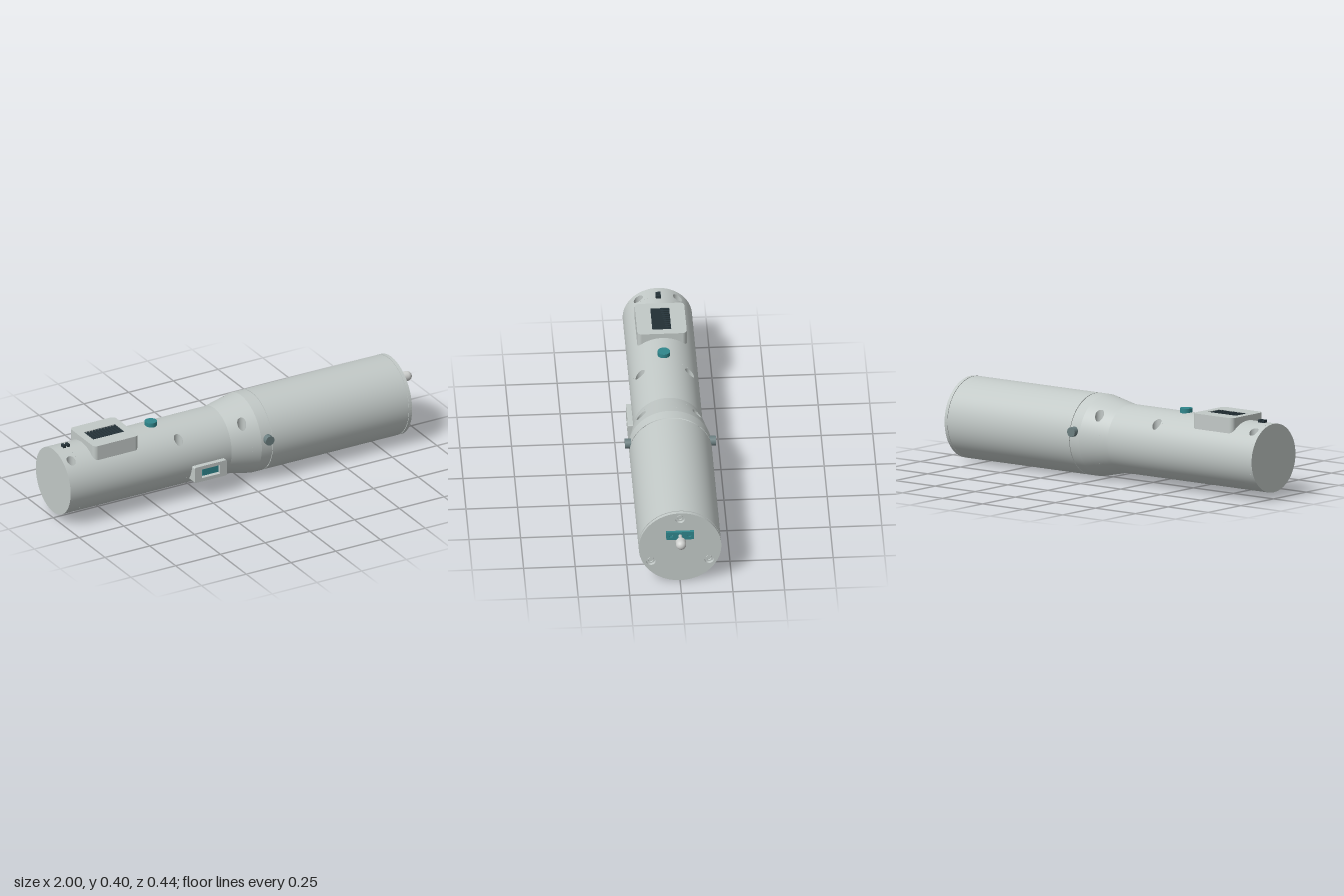
import * as THREE from 'three';

const AXIS = 0.2; // height of the long axis
const mat = (name, color, side = THREE.FrontSide) => {
  const m = new THREE.MeshStandardMaterial({ color, side });
  m.name = name;
  return m;
};

export function createModel() {
  const grey = mat('casing grey', 0xc2c9c7, THREE.DoubleSide);
  const teal = mat('teal', 0x2f868c);
  const dark = mat('dark slate', 0x26343a);
  const slate = mat('knob slate', 0x6c7f81);
  const pale = mat('pale metal', 0xcfd1cf);

  const model = new THREE.Group();
  const add = (name, geo, material, x = 0, y = 0, z = 0) => {
    const m = new THREE.Mesh(geo, material);
    m.name = name;
    m.position.set(x, y, z);
    model.add(m);
    return m;
  };

  // ---- Handle: radius rule along x, then surface patches around the drilled holes
  const R = x => x <= -0.1 ? 0.168 : Math.min(0.2, 0.168 + (x + 0.1) * 0.032 / 0.15);
  const patch = (slope, f, nu, nv) => {
    const pos = [], nor = [], idx = [];
    for (let i = 0; i <= nu; i++) for (let j = 0; j <= nv; j++) {
      const [x, a] = f(i / nu, j / nv);
      pos.push(x, AXIS + R(x) * Math.cos(a), R(x) * Math.sin(a));
      nor.push(...new THREE.Vector3(-slope, Math.cos(a), Math.sin(a)).normalize().toArray());
    }
    const v = (arr, k) => new THREE.Vector3().fromArray(arr, k * 3);
    const tri = (a, b, c) => { // keep every face turned outward
      const n = v(pos, b).sub(v(pos, a)).cross(v(pos, c).sub(v(pos, a)));
      idx.push(...(n.dot(v(nor, a)) < 0 ? [a, c, b] : [a, b, c]));
    };
    for (let i = 0; i < nu; i++) for (let j = 0; j < nv; j++) {
      const a = i * (nv + 1) + j, b = a + nv + 1;
      tri(a, b, b + 1);
      tri(a, b + 1, a + 1);
    }
    const g = new THREE.BufferGeometry();
    g.setAttribute('position', new THREE.Float32BufferAttribute(pos, 3));
    g.setAttribute('normal', new THREE.Float32BufferAttribute(nor, 3));
    g.setIndex(idx);
    add('handleShell', g, grey);
  };
  const band = (slope, x0, x1, a0 = 0, a1 = Math.PI * 2) =>
    patch(slope, (u, v) => [x0 + (x1 - x0) * u, a0 + (a1 - a0) * v], 1, Math.ceil((a1 - a0) * 14));

  const WIDE = 0.022, NARROW = 0.012, HALF = 0.03, SPREAD = 0.3;
  const drilledBand = (slope, hx, hz) => {
    const x0 = hx - HALF, x1 = hx + HALF, t = Math.asin(hz / R(hx));
    const centres = [-t, t, Math.PI - t, Math.PI + t];
    centres.forEach((c, i) => {
      const next = i < 3 ? centres[i + 1] : centres[0] + Math.PI * 2;
      band(slope, x0, x1, c + SPREAD, next - SPREAD);
      const bottom = i > 1, side = i === 0 || i === 3 ? -1 : 1;
      const rad = bottom ? NARROW : WIDE;
      patch(slope, (u, v) => {
        const a = v * Math.PI * 2, cs = Math.cos(a), sn = Math.sin(a);
        const k = 1 / Math.max(Math.abs(cs), Math.abs(sn));
        const ix = hx + rad * cs;
        const top = Math.asin((side * hz + rad * sn) / R(ix));
        const ia = bottom ? Math.PI - top : top;
        return [ix + (hx + HALF * k * cs - ix) * u, ia + (c + SPREAD * k * sn - ia) * u];
      }, 4, 32);
    });
    // Stepped bores running straight down through the handle
    for (const s of [-1, 1]) {
      const height = Math.sqrt(R(hx) ** 2 - hz ** 2), step = AXIS + height - 0.06;
      const bore = (rad, topY, bottomY) => {
        const g = new THREE.CylinderGeometry(rad, rad, 1, 32, 1, true), p = g.attributes.position;
        for (let i = 0; i < p.count; i++) {
          const x = hx + p.getX(i), z = s * hz + p.getZ(i), h = Math.sqrt(R(x) ** 2 - z * z);
          p.setXYZ(i, x, p.getY(i) > 0 ? topY ?? AXIS + h : bottomY ?? AXIS - h, z);
        }
        add('screwBore', g, grey);
      };
      bore(WIDE, undefined, step);
      bore(NARROW, step, undefined);
      add('screwSeat', new THREE.RingGeometry(NARROW, WIDE, 32).rotateX(-Math.PI / 2), grey, hx, step, s * hz);
    }
  };

  const slope = 0.032 / 0.15;
  band(0, -1, -0.985);
  drilledBand(0, -0.955, 0.095);
  band(0, -0.925, -0.4);
  drilledBand(0, -0.37, 0.12);
  band(0, -0.34, -0.1);
  band(slope, -0.1, -0.055);
  drilledBand(slope, -0.025, 0.135);
  band(slope, 0.005, 0.05);
  band(0, 0.05, 0.107);
  add('handleEnd', new THREE.CircleGeometry(0.168, 88).rotateY(-Math.PI / 2), grey, -1, AXIS);

  // ---- Wide barrel with shallow grooves at both joints
  const barrel = (name, x0, x1, r) =>
    add(name, new THREE.CylinderGeometry(r, r, x1 - x0, 88).rotateZ(Math.PI / 2), grey, (x0 + x1) / 2, AXIS);
  barrel('jointGroove', 0.106, 0.114, 0.196);
  barrel('barrel', 0.112, 0.868, 0.2);
  barrel('capGroove', 0.867, 0.874, 0.197);

  // ---- Shape helpers
  const circle = (x, y, r, Kind = THREE.Path) => new Kind().absarc(x, y, r, 0, Math.PI * 2);
  const rounded = (w, h, r, Kind = THREE.Shape) => {
    const s = new Kind(), x = w / 2 - r, y = h / 2 - r;
    s.absarc(x, y, r, 0, Math.PI / 2);
    s.absarc(-x, y, r, Math.PI / 2, Math.PI);
    s.absarc(-x, -y, r, Math.PI, Math.PI * 1.5);
    s.absarc(x, -y, r, Math.PI * 1.5, Math.PI * 2);
    s.closePath();
    return s;
  };
  const extrude = (shape, holes, depth, curveSegments = 12) => {
    shape.holes.push(...holes);
    return new THREE.ExtrudeGeometry(shape, { depth, bevelEnabled: false, curveSegments });
  };

  // ---- End cap with three recessed screws
  const screws = [[0, 0.165], [0.141, -0.08], [-0.141, -0.08]];
  add('endCap', extrude(circle(0, 0, 0.2, THREE.Shape), screws.map(([a, b]) => circle(a, b, 0.023)), 0.017, 44)
    .rotateY(Math.PI / 2), grey, 0.873, AXIS);
  for (const [z, y] of screws)
    add('capScrew', extrude(circle(0, 0, 0.015, THREE.Shape), [circle(0, 0, 0.011)], 0.009, 16)
      .rotateY(Math.PI / 2), grey, 0.873, AXIS + y, z);

  // ---- Stud on its mounting plate
  add('studPlate', extrude(rounded(0.134, 0.044, 0.001), [circle(-0.045, 0, 0.009), circle(0.045, 0, 0.009)], 0.014)
    .rotateY(Math.PI / 2), teal, 0.89, 0.275);
  for (const z of [-0.045, 0.045])
    add('plateScrew', new THREE.CylinderGeometry(0.0065, 0.0065, 0.009, 20).rotateZ(Math.PI / 2), teal, 0.8945, 0.275, z);
  const stud = [[0, 0], [0.009, 0], [0.009, 0.045], [0.009, 0.045], [0.024, 0.045], [0.025, 0.047], [0.025, 0.071]]
    .map(p => new THREE.Vector2(...p));
  for (let i = 1; i <= 10; i++) {
    const a = i / 10 * Math.PI / 2;
    stud.push(new THREE.Vector2(0.025 * Math.cos(a), 0.071 + 0.025 * Math.sin(a)));
  }
  add('stud', new THREE.LatheGeometry(stud, 32).rotateZ(-Math.PI / 2), pale, 0.904, 0.275);

  // ---- Side knobs
  for (const s of [-1, 1])
    add('sideKnob', new THREE.CylinderGeometry(0.024, 0.024, 0.03, 24).rotateX(Math.PI / 2), slate, 0.085, 0.239, s * 0.205);

  // ---- Top housing with a ribbed recess
  add('topHousing', extrude(rounded(0.25, 0.24, 0.022), [rounded(0.176, 0.092, 0.002, THREE.Path)], 0.093)
    .rotateX(-Math.PI / 2), grey, -0.715, 0.3);
  add('recessFloor', new THREE.BoxGeometry(0.176, 0.02, 0.092), dark, -0.715, 0.37);
  for (let i = 0; i < 11; i++)
    add('recessRib', new THREE.BoxGeometry(0.009, 0.012, 0.092), dark, -0.715 + (i - 5) * 0.0165, 0.385);

  // ---- Button and small contacts on top of the handle
  add('topButton', new THREE.CylinderGeometry(0.03, 0.03, 0.03, 28), teal, -0.455, 0.373);
  for (const s of [-1, 1])
    add('contact', new THREE.BoxGeometry(0.013, 0.022, 0.025), dark, -0.932 + s * 0.011, 0.371);

  // ---- Slide switch on the front
  add('switchHousing', extrude(rounded(0.18, 0.082, 0.006), [rounded(0.1, 0.046, 0.002, THREE.Path)], 0.065),
    grey, -0.23, 0.14, 0.127);
  add('switchSlider', new THREE.BoxGeometry(0.088, 0.034, 0.04), teal, -0.23, 0.143, 0.167);

  return model;
}
